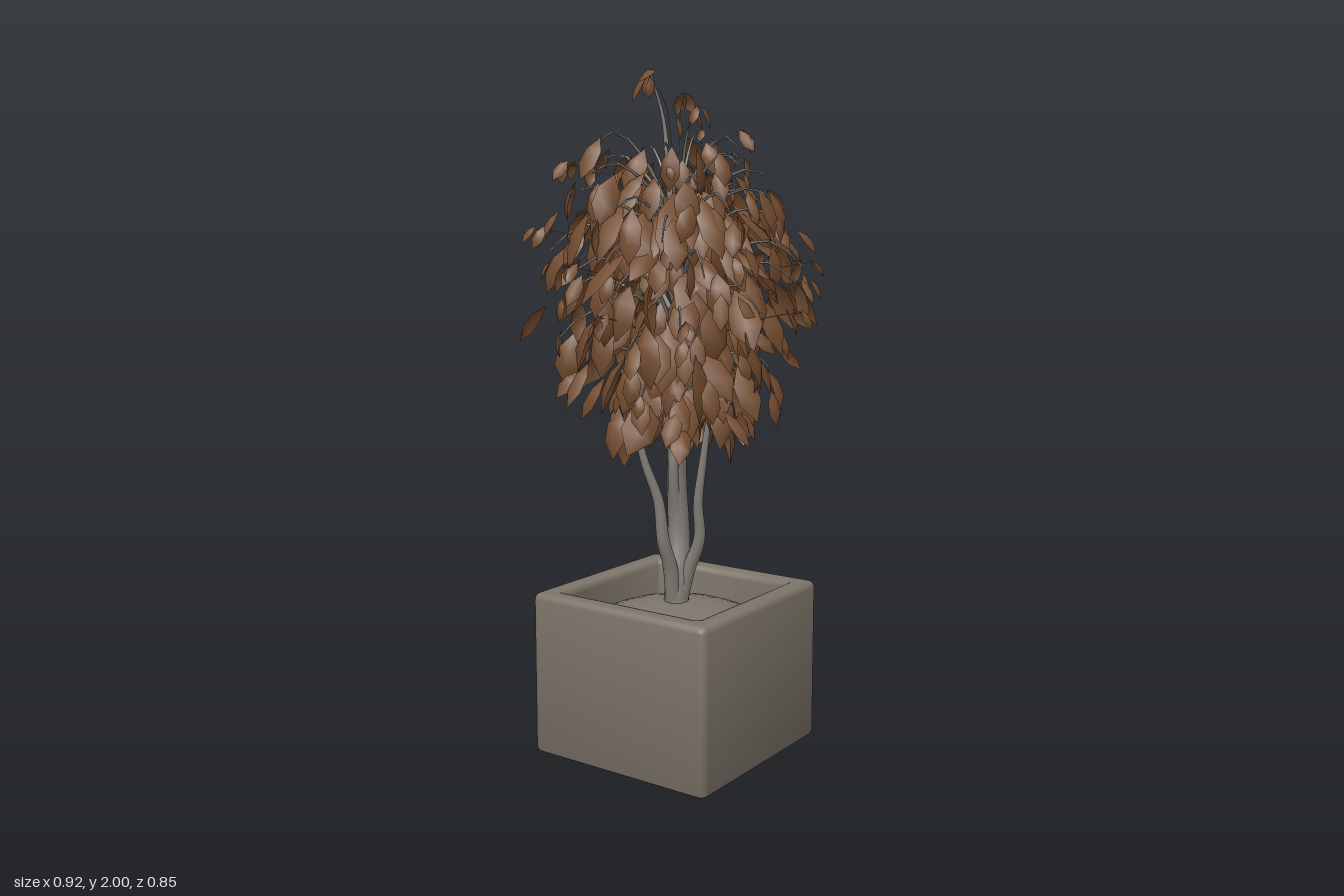
import * as THREE from 'three';
import { mergeGeometries, toCreasedNormals } from 'three/addons/utils/BufferGeometryUtils.js';

const V = (x, y, z) => new THREE.Vector3(x, y, z);

// small seeded generator so the foliage is always the same
function makeRandom(seed) {
  return () => {
    seed = (seed * 16807) % 2147483647;
    return seed / 2147483647;
  };
}

// round stem that narrows from r0 to r1 along a curve
function taperedTube(points, r0, r1, steps, sides) {
  const curve = new THREE.CatmullRomCurve3(points);
  const geo = new THREE.TubeGeometry(curve, steps, r0, sides, false);
  const pos = geo.attributes.position;
  const p = V(0, 0, 0);
  for (let i = 0; i < pos.count; i++) {
    const t = Math.floor(i / (sides + 1)) / steps;
    const k = THREE.MathUtils.lerp(1, r1 / r0, t);
    const c = curve.getPointAt(t);
    p.fromBufferAttribute(pos, i).sub(c).multiplyScalar(k).add(c);
    pos.setXYZ(i, p.x, p.y, p.z);
  }
  return { geo, curve };
}

// pointed leaf, folded along its midrib and drooping toward the tip
function leafGeometry(base, dir, length, width, roll) {
  const d = dir.clone().normalize();
  const side = V(d.z, 0, -d.x).normalize().applyAxisAngle(d, roll);
  const up = d.clone().cross(side);
  const at = (l, s, u) => base.clone().addScaledVector(d, l * length)
    .addScaledVector(side, s * width).addScaledVector(up, u * width);
  const geo = new THREE.BufferGeometry().setFromPoints([
    at(0, 0, 0),
    at(0.32, -0.42, -0.08), at(0.36, 0, 0.16), at(0.32, 0.42, -0.08),
    at(0.66, -0.45, -0.2), at(0.7, 0, 0.06), at(0.66, 0.45, -0.2),
    at(1, 0, -0.35),
  ]);
  geo.setIndex([0, 1, 2, 0, 2, 3, 1, 4, 5, 1, 5, 2, 2, 5, 6, 2, 6, 3, 4, 7, 5, 5, 7, 6]);
  geo.computeVertexNormals();
  return geo;
}

// crown radius at a given height
const CROWN = [[0.97, 0.12], [1.08, 0.23], [1.2, 0.32], [1.4, 0.38], [1.55, 0.36], [1.68, 0.3], [1.78, 0.23], [1.86, 0.15]];
function crownRadius(y) {
  for (let i = 1; i < CROWN.length; i++) {
    const [y0, r0] = CROWN[i - 1], [y1, r1] = CROWN[i];
    if (y <= y1) return THREE.MathUtils.mapLinear(y, y0, y1, r0, r1);
  }
  return 0.12;
}

export function createModel() {
  const group = new THREE.Group();
  const mat = (name, color, side = THREE.FrontSide) => {
    const m = new THREE.MeshStandardMaterial({ color, side });
    m.name = name;
    return m;
  };
  const stone = mat('stone', 0x7d756a);
  const bark = mat('bark', 0x827e77);
  const foliage = mat('brown leaf', 0x744d30, THREE.DoubleSide);
  const add = (name, geo, material, parent = group) => {
    const mesh = new THREE.Mesh(geo, material);
    mesh.name = name;
    parent.add(mesh);
  };

  // planter: square wall ring with soft edges, closed by a base
  const square = (T, h, r) => {
    const s = new T();
    s.absarc(h - r, h - r, r, 0, Math.PI / 2);
    s.absarc(r - h, h - r, r, Math.PI / 2, Math.PI);
    s.absarc(r - h, r - h, r, Math.PI, Math.PI * 1.5);
    s.absarc(h - r, r - h, r, Math.PI * 1.5, Math.PI * 2);
    s.closePath();
    return s;
  };
  const planter = new THREE.Group();
  planter.name = 'planter';
  group.add(planter);
  const wallShape = square(THREE.Shape, 0.307, 0.025);
  wallShape.holes.push(square(THREE.Path, 0.24, 0.01));
  const wall = new THREE.ExtrudeGeometry(wallShape, {
    depth: 0.45, curveSegments: 4, bevelEnabled: true, bevelThickness: 0.02,
    bevelSize: 0.02, bevelOffset: -0.02, bevelSegments: 4,
  });
  wall.rotateX(-Math.PI / 2).translate(0, 0.02, 0);
  add('planterWall', toCreasedNormals(wall, 0.7), stone, planter);
  add('planterBase', new THREE.BoxGeometry(0.56, 0.04, 0.56).translate(0, 0.0205, 0), stone, planter);

  // filling, slightly mounded around the trunk
  const filling = new THREE.PlaneGeometry(0.51, 0.51, 12, 12).rotateX(-Math.PI / 2);
  const fp = filling.attributes.position;
  for (let i = 0; i < fp.count; i++) {
    const r = Math.hypot(fp.getX(i), fp.getZ(i));
    fp.setY(i, 0.45 - 0.9 * r * r);
  }
  filling.computeVertexNormals();
  add('filling', filling, stone);

  // trunk and its winding side stems
  const stems = [
    ['trunk', [V(-0.005, 0.42, 0), V(0.005, 0.52, 0), V(0.032, 0.64, -0.015), V(0.026, 0.8, -0.018), V(0.01, 0.98, -0.005), V(0.014, 1.2, 0.005), V(0, 1.52, 0)], 0.038, 0.014],
    ['leftStem', [V(-0.015, 0.44, 0), V(-0.035, 0.56, 0), V(-0.062, 0.64, -0.005), V(-0.072, 0.76, -0.015), V(-0.1, 0.88, -0.045), V(-0.12, 1.05, -0.08)], 0.025, 0.007],
    ['frontStem', [V(0, 0.44, 0.01), V(0.015, 0.54, 0.03), V(0.025, 0.64, 0.064), V(0.015, 0.75, 0.066), V(0.02, 0.88, 0.08), V(0.03, 1.05, 0.1)], 0.024, 0.007],
    ['twinStem', [V(0.02, 0.44, 0), V(0.035, 0.56, -0.005), V(0.018, 0.72, -0.015), V(0.0, 0.86, -0.012), V(0.03, 1.02, 0), V(0.01, 1.4, 0.01)], 0.022, 0.009],
    ['leader', [V(0, 1.5, 0), V(-0.02, 1.65, -0.01), V(-0.025, 1.86, -0.03), V(-0.07, 1.98, -0.04)], 0.013, 0.003],
  ];
  for (const [name, pts, r0, r1] of stems) add(name, taperedTube(pts, r0, r1, 24, 10).geo, bark);
  add('trunkKnot', new THREE.SphereGeometry(0.026, 10, 8).translate(0, 1.54, 0), bark);

  // arching twigs with hanging leaves
  const rnd = makeRandom(4127);
  const span = (a, b) => a + (b - a) * rnd();
  const twigs = [], leaves = [];
  const COUNT = 70;
  for (let i = 0; i < COUNT; i++) {
    const angle = i * 2.39996 + span(-0.15, 0.15);
    const h = 0.98 + 0.84 * Math.pow((i + 0.5) / COUNT, 0.95);
    const r = crownRadius(h) * span(0.8, 1.08);
    const out = V(Math.cos(angle), 0, Math.sin(angle));
    const y0 = THREE.MathUtils.clamp(h - 0.15, 0.98, 1.53);
    const arch = h < 1.6 ? 0.09 : 0.04;
    const { geo, curve } = taperedTube([
      V(0.005, y0, 0),
      out.clone().multiplyScalar(r * 0.35).setY(THREE.MathUtils.lerp(y0, h, 0.6) + arch),
      out.clone().multiplyScalar(r * 0.75).setY(h + arch * 0.8),
      out.clone().multiplyScalar(r).setY(h),
    ], 0.008, 0.002, 8, 5);
    twigs.push(geo);

    const n = h > 1.74 ? 5 : 6;
    for (let k = 0; k < n; k++) {
      const t = THREE.MathUtils.lerp(0.38, 1, k / (n - 1));
      const base = curve.getPointAt(t).add(V(span(-0.04, 0.04), span(-0.05, 0.02), span(-0.04, 0.04)));
      const dir = out.clone().multiplyScalar(span(0.15, 0.85))
        .applyAxisAngle(V(0, 1, 0), span(-0.7, 0.7)).add(V(0, -span(0.55, 1.05), 0));
      const size = (h > 1.7 ? 0.75 : 1) * (t > 0.95 ? 0.65 : 1);
      const length = size * span(0.09, 0.2);
      leaves.push(leafGeometry(base, dir, length, length * span(0.45, 0.62), span(-0.8, 0.8)));
    }
  }

  // long leaves spreading from the heart of the crown
  for (let i = 0; i < 30; i++) {
    const a = i * 2.39996 + 0.4;
    const out = V(Math.cos(a), 0, Math.sin(a));
    const base = out.clone().multiplyScalar(span(0.05, 0.13)).setY(span(1.48, 1.68));
    const dir = out.clone().setY(-span(0.35, 1));
    leaves.push(leafGeometry(base, dir, span(0.18, 0.27), span(0.06, 0.1), span(-0.7, 0.7)));
  }

  // fine shoots that poke out of the crown, each with small tip leaves
  const shoots = [
    [-0.09, 1.97, -0.04], [0.15, 1.94, -0.08], [-0.06, 1.88, 0.12], [0.1, 1.82, 0.16],
    [0.42, 1.48, 0.07], [-0.43, 1.32, 0.05], [-0.39, 1.45, -0.1], [0.38, 1.3, -0.11],
    [0.06, 1.6, -0.39], [-0.11, 1.74, -0.34], [-0.26, 1.55, -0.31], [0.26, 1.52, -0.28],
    [0.06, 1.32, 0.38], [0.19, 1.4, 0.33], [0.31, 1.45, 0.26], [-0.31, 1.3, 0.25],
  ];
  for (const [x, y, z] of shoots) {
    const end = V(x, y, z);
    twigs.push(taperedTube([
      V(0, Math.min(1.55, y - 0.15), 0), V(x * 0.4, y - 0.06, z * 0.4), V(x * 0.8, y - 0.01, z * 0.8), end,
    ], 0.004, 0.001, 8, 4).geo);
    for (let k = 0; k < 3; k++) {
      const dir = V(x, 0, z).normalize().multiplyScalar(span(0.2, 0.7)).add(V(span(-0.5, 0.5), -0.6, span(-0.5, 0.5)));
      leaves.push(leafGeometry(V(x * (1 - k * 0.06), y + 0.01, z * (1 - k * 0.06)), dir, span(0.06, 0.09), 0.04, span(-0.8, 0.8)));
    }
  }
  // topmost leaf
  leaves.push(leafGeometry(V(-0.06, 1.995, -0.035), V(-1, -0.3, 0.1), 0.09, 0.045, 0.2));

  add('twigs', mergeGeometries(twigs), bark);
  add('leaves', mergeGeometries(leaves), foliage);
  return group;
}
